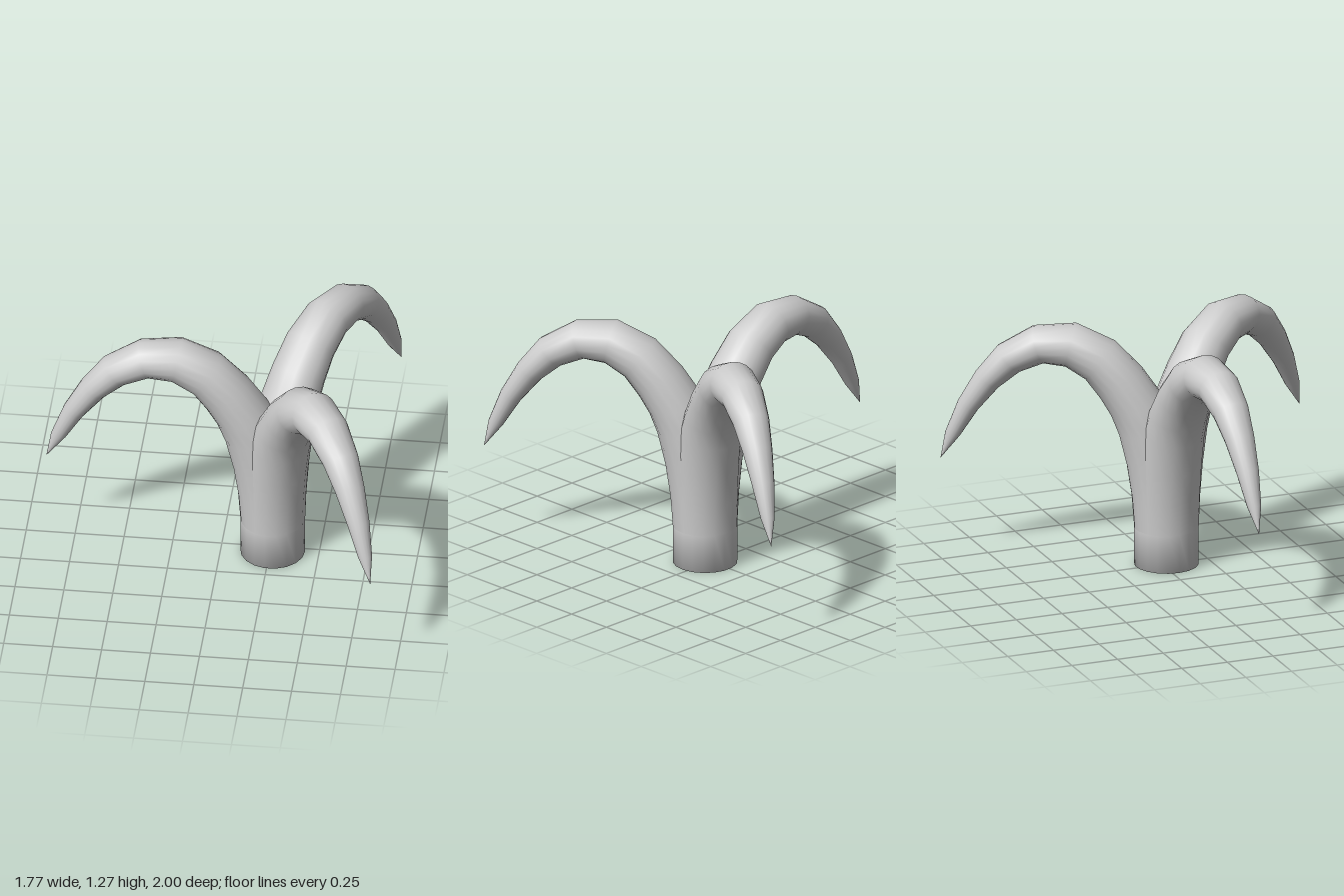
import * as THREE from 'three';

const SIDES = 18;
const BASE_RADIUS = 0.165;
const NECK = 0.2;

// Arm cross-sections: [upper edge out, up, lower edge out, up, half width]
const SECTIONS = [
  [-0.165, 0.20, 0.165, 0.20, 0.165],
  [-0.150, 0.38, 0.177, 0.36, 0.164],
  [-0.120, 0.57, 0.203, 0.53, 0.162],
  [-0.070, 0.74, 0.245, 0.70, 0.157],
  [0.015, 0.89, 0.285, 0.80, 0.150],
  [0.123, 1.04, 0.340, 0.89, 0.142],
  [0.263, 1.18, 0.413, 0.985, 0.134],
  [0.463, 1.27, 0.513, 1.047, 0.122],
  [0.683, 1.25, 0.623, 1.06, 0.110],
  [0.863, 1.14, 0.743, 1.01, 0.094],
  [0.973, 1.00, 0.853, 0.92, 0.077],
  [1.063, 0.84, 0.963, 0.79, 0.058],
  [1.128, 0.67, 1.053, 0.65, 0.036],
  [1.153, 0.525, 1.153, 0.525, 0],
];

// Skin joining a stack of rings, each a list of [x, y, z]
function loft(rings) {
  const n = rings[0].length;
  const index = [];
  for (let i = 0; i < rings.length - 1; i++) {
    for (let j = 0; j < n; j++) {
      const a = i * n + j, b = i * n + (j + 1) % n;
      index.push(a, a + n, b, b, a + n, b + n);
    }
  }
  const geometry = new THREE.BufferGeometry();
  geometry.setAttribute('position', new THREE.Float32BufferAttribute(rings.flat(2), 3));
  geometry.setIndex(index);
  geometry.computeVertexNormals();
  return geometry;
}

// Elliptical ring spanning the upper and lower edge of one section
function ring([ui, uy, lo, ly, w]) {
  return Array.from({ length: SIDES }, (_, j) => {
    const t = (j / SIDES) * Math.PI * 2;
    const c = Math.cos(t) / 2;
    return [(ui + lo) / 2 + (lo - ui) * c, (uy + ly) / 2 + (ly - uy) * c, -w * Math.sin(t)];
  });
}

export function createModel() {
  const group = new THREE.Group();
  const material = new THREE.MeshStandardMaterial({ color: 0xcccccc, side: THREE.DoubleSide });
  const cluster = new THREE.Group();
  cluster.name = 'plant';
  cluster.position.set(0.263, 0, 0.03);
  group.add(cluster);

  // Round stalk, softly shaded into its closed underside
  const r = BASE_RADIUS;
  const stalk = new THREE.Mesh(loft([
    ring([0, 0, 0, 0, 0]),
    ring([-r, 0, r, 0, r]),
    ring([-r, NECK, r, NECK, r]),
  ]), material);
  stalk.name = 'stalk';
  stalk.rotation.y = THREE.MathUtils.degToRad(-178);
  cluster.add(stalk);

  // Three tapering arms arching out of the stalk
  const armGeometry = loft(SECTIONS.map(ring));
  for (let k = 0; k < 3; k++) {
    const arm = new THREE.Mesh(armGeometry, material);
    arm.name = 'arm' + (k + 1);
    arm.rotation.y = THREE.MathUtils.degToRad(-178 + 120 * k);
    cluster.add(arm);
  }
  return group;
}
